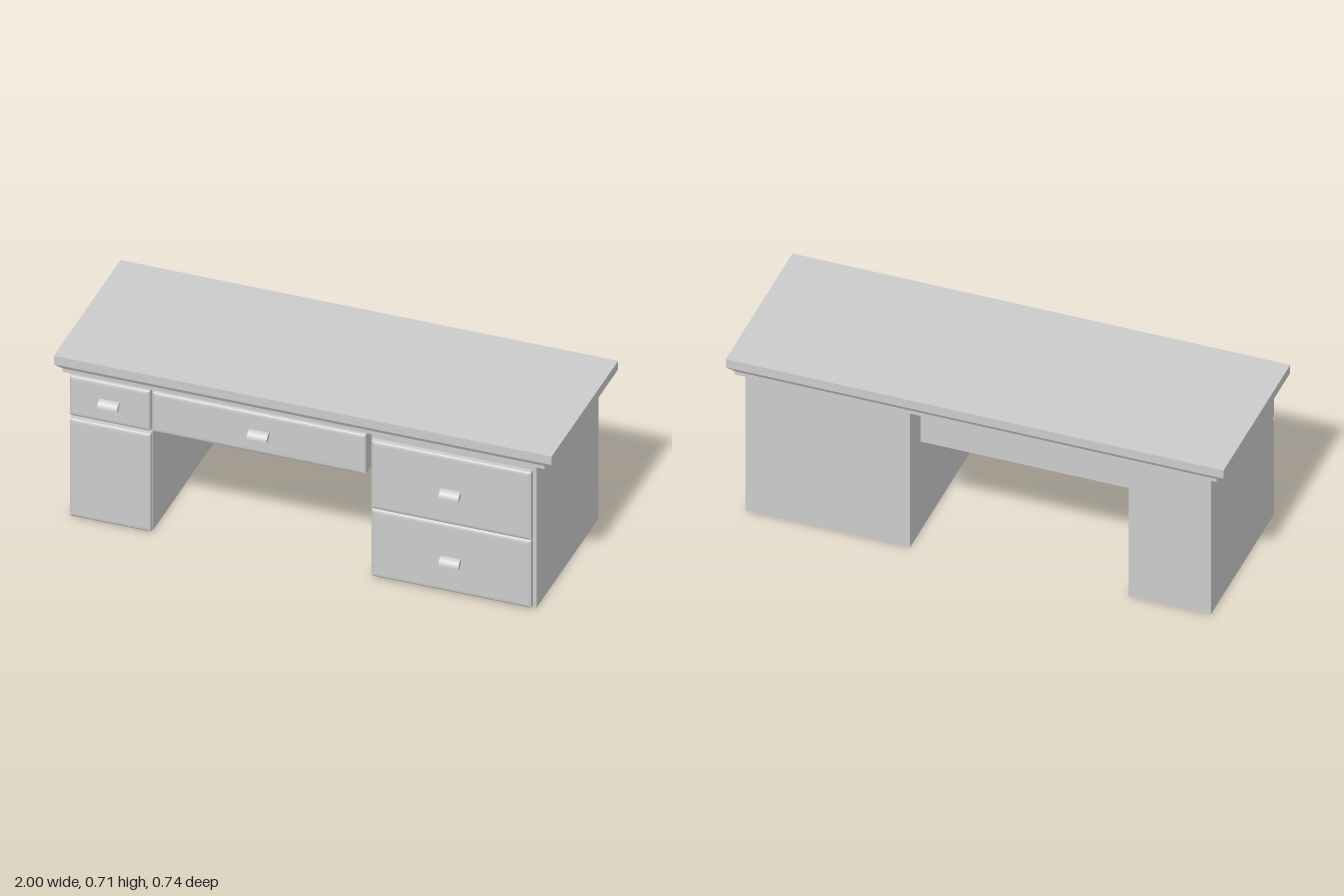
import * as THREE from 'three';

export function createModel() {
  const desk = new THREE.Group();
  desk.name = 'desk';
  const material = new THREE.MeshStandardMaterial({ color: 0xcccccc });

  const add = (name, geometry) => {
    const mesh = new THREE.Mesh(geometry, material);
    mesh.name = name;
    desk.add(mesh);
    return mesh;
  };

  // Box given by its limits; its lower face can be pulled in by insetX, insetZ
  const block = (name, x0, x1, y0, y1, z0, z1, insetX = 0, insetZ = 0) => {
    const w = x1 - x0, h = y1 - y0, d = z1 - z0;
    const g = new THREE.BoxGeometry(w, h, d);
    const p = g.attributes.position;
    for (let i = 0; i < p.count; i++) {
      if (p.getY(i) > 0) continue;
      p.setX(i, p.getX(i) * (1 - 2 * insetX / w));
      p.setZ(i, p.getZ(i) * (1 - 2 * insetZ / d));
    }
    g.computeVertexNormals();
    g.translate((x0 + x1) / 2, (y0 + y1) / 2, (z0 + z1) / 2);
    return add(name, g);
  };

  // Worktop with a sloped moulding under its edge
  block('worktop', -1, 1, 0.668, 0.706, -0.37, 0.343);
  block('worktopMoulding', -1, 1, 0.651, 0.668, -0.37, 0.343, 0.032, 0.01);
  block('worktopBase', -0.968, 0.968, 0.636, 0.651, -0.36, 0.333);

  // Two pedestals and the shallow case between them
  block('narrowPedestal', -0.94, -0.61, 0, 0.636, -0.347, 0.32);
  block('widePedestal', 0.268, 0.93, 0, 0.636, -0.347, 0.32);
  block('middleDrawerCase', -0.61, 0.25, 0.457, 0.636, -0.285, 0.32);

  // Fronts with softly rounded face edges
  const bevel = 0.016;
  const front = (name, x0, x1, y0, y1) => {
    const shape = new THREE.Shape([
      new THREE.Vector2(x0, y0), new THREE.Vector2(x1, y0),
      new THREE.Vector2(x1, y1), new THREE.Vector2(x0, y1),
    ]);
    const g = new THREE.ExtrudeGeometry(shape, {
      depth: 0.026, bevelSize: bevel, bevelOffset: -bevel,
      bevelThickness: 0.008, bevelSegments: 4,
    });
    g.translate(0, 0, 0.31);
    add(name, g);
  };
  front('narrowDrawerFront', -0.938, -0.615, 0.455, 0.632);
  front('cupboardDoor', -0.938, -0.612, 0.004, 0.441);
  front('middleDrawerFront', -0.605, 0.252, 0.455, 0.632);
  front('upperDrawerFront', 0.276, 0.916, 0.311, 0.613);
  front('lowerDrawerFront', 0.276, 0.916, 0.008, 0.309);

  // Hooked pulls: a quarter ring drawn out sideways
  const ring = new THREE.Shape();
  ring.absarc(0, 0, 0.031, 0, Math.PI / 2, false);
  ring.absarc(0, 0, 0.013, Math.PI / 2, 0, true);
  ring.closePath();
  const pull = new THREE.ExtrudeGeometry(ring, { depth: 0.08, bevelEnabled: false, curveSegments: 8 });
  pull.translate(0, 0, -0.04);
  pull.rotateY(-Math.PI / 2);
  const pulls = [
    ['narrowDrawerPull', -0.775, 0.527], ['middleDrawerPull', -0.174, 0.527],
    ['upperDrawerPull', 0.596, 0.435], ['lowerDrawerPull', 0.596, 0.135],
  ];
  for (const [name, x, y] of pulls) add(name, pull).position.set(x, y, 0.343);

  return desk;
}
